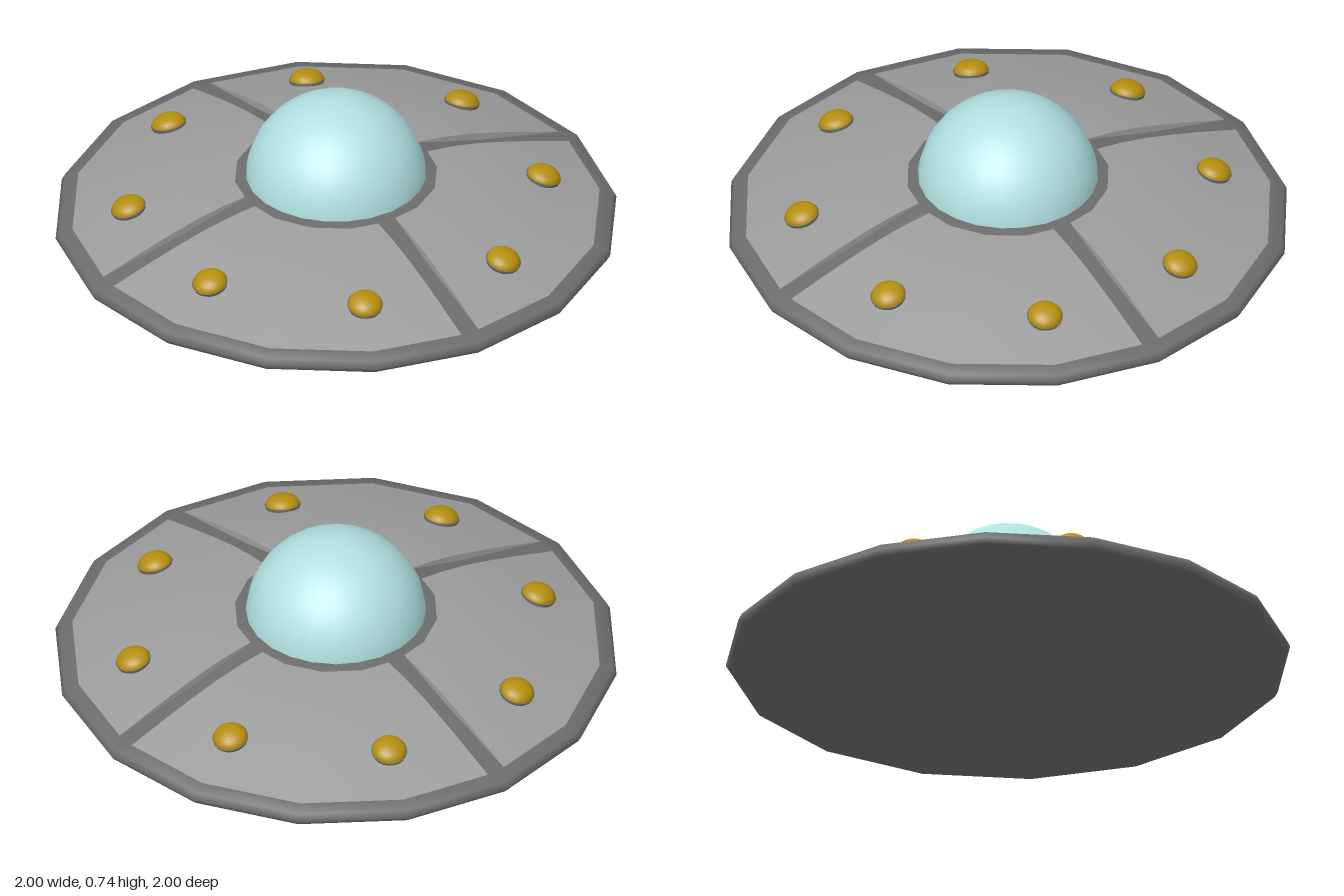
import * as THREE from 'three';
import { toCreasedNormals } from 'three/addons/utils/BufferGeometryUtils.js';

const SIDES = 16;
const STEP = (Math.PI * 2) / SIDES;

const material = (color) => new THREE.MeshStandardMaterial({ color });

function addMesh(parent, name, geometry, mat) {
  const mesh = new THREE.Mesh(geometry, mat);
  mesh.name = name;
  parent.add(mesh);
  return mesh;
}

// Sixteen-sided ring turned from [radius, height] points, listed bottom to top
const turned = (points) =>
  new THREE.LatheGeometry(points.map(([r, y]) => new THREE.Vector2(r, y)), SIDES);

// One quarter of the raised top skin, trimmed parallel to the grooves beside it
function panelGeometry(startAngle) {
  // radius, top height, depth of the side wall
  const rows = [[0.36, 0.432, 0.012], [0.46, 0.42, 0.03], [0.57, 0.398, 0.04],
    [0.68, 0.368, 0.04], [0.78, 0.338, 0.03], [0.94, 0.286, 0.01]];
  const halfGroove = 0.035;
  const columns = 7; // wall foot, five skin columns, wall foot
  const positions = [];
  const index = [];
  rows.forEach(([r, y, depth], i) => {
    for (let j = 0; j < columns; j++) {
      const k = THREE.MathUtils.clamp(j - 1, 0, 4);
      const a = startAngle + k * STEP;
      const side = k === 0 ? 1 : k === 4 ? -1 : 0;
      const along = r - Math.abs(side) * halfGroove * Math.tan(STEP / 2);
      const across = side * halfGroove;
      const foot = j === 0 || j === columns - 1;
      positions.push(
        Math.sin(a) * along + Math.cos(a) * across,
        foot ? y - depth : y,
        Math.cos(a) * along - Math.sin(a) * across
      );
      if (i < rows.length - 1 && j < columns - 1) {
        const p = i * columns + j;
        const q = p + columns;
        index.push(p, q, q + 1, p, q + 1, p + 1);
      }
    }
  });
  const geometry = new THREE.BufferGeometry();
  geometry.setAttribute('position', new THREE.Float32BufferAttribute(positions, 3));
  geometry.setIndex(index);
  return toCreasedNormals(geometry, 0.5);
}

export function createModel() {
  const model = new THREE.Group();
  model.name = 'flyingSaucer';
  const hullMat = material(0x6c6c6c);
  const panelMat = material(0x9c9c9c);
  const domeMat = material(0xb0e0e0);
  const lampMat = material(0xb48e0c);

  // Hull
  addMesh(model, 'bellyPlate', turned([[0, 0], [0.14, 0.004], [0.285, 0.03]]), hullMat);
  addMesh(model, 'belly', turned([[0.285, 0.03], [0.54, 0.107], [0.8, 0.185], [0.96, 0.222]]), hullMat);
  addMesh(model, 'rim', turned([[0.96, 0.222], [0.988, 0.23], [1, 0.25], [0.988, 0.274], [0.94, 0.286]]), hullMat);
  addMesh(model, 'grooveFloor', turned([[0.94, 0.286], [0.6, 0.362], [0.36, 0.43]]), hullMat);
  addMesh(model, 'domeCollar', turned([[0.36, 0.43], [0.32, 0.437], [0.2, 0.437]]), hullMat);

  // Four top panels, separated by radial grooves
  for (let i = 0; i < 4; i++) {
    addMesh(model, 'topPanel', panelGeometry(STEP * 3 + (i * Math.PI) / 2), panelMat);
  }

  // Cockpit dome
  const dome = addMesh(model, 'dome',
    new THREE.SphereGeometry(0.32, 24, 14, 0, Math.PI * 2, 0, Math.PI / 2), domeMat);
  dome.position.y = 0.416;

  // Eight lamps, tilted to lie on the panels
  const cup = new THREE.CylinderGeometry(0.064, 0.056, 0.03, 20);
  const bulb = new THREE.SphereGeometry(0.061, 20, 8, 0, Math.PI * 2, 0, Math.PI / 2).scale(1, 0.62, 1);
  for (let i = 0; i < 8; i++) {
    const spoke = new THREE.Group();
    spoke.name = 'lamp';
    spoke.rotation.y = (i * Math.PI) / 4;
    const seat = new THREE.Group();
    seat.name = 'lampSeat';
    seat.position.set(0, 0.356, 0.74);
    seat.rotation.x = 0.28;
    addMesh(seat, 'lampCup', cup, hullMat).position.y = -0.012;
    addMesh(seat, 'lampBulb', bulb, lampMat).position.y = 0.002;
    spoke.add(seat);
    model.add(spoke);
  }
  return model;
}
